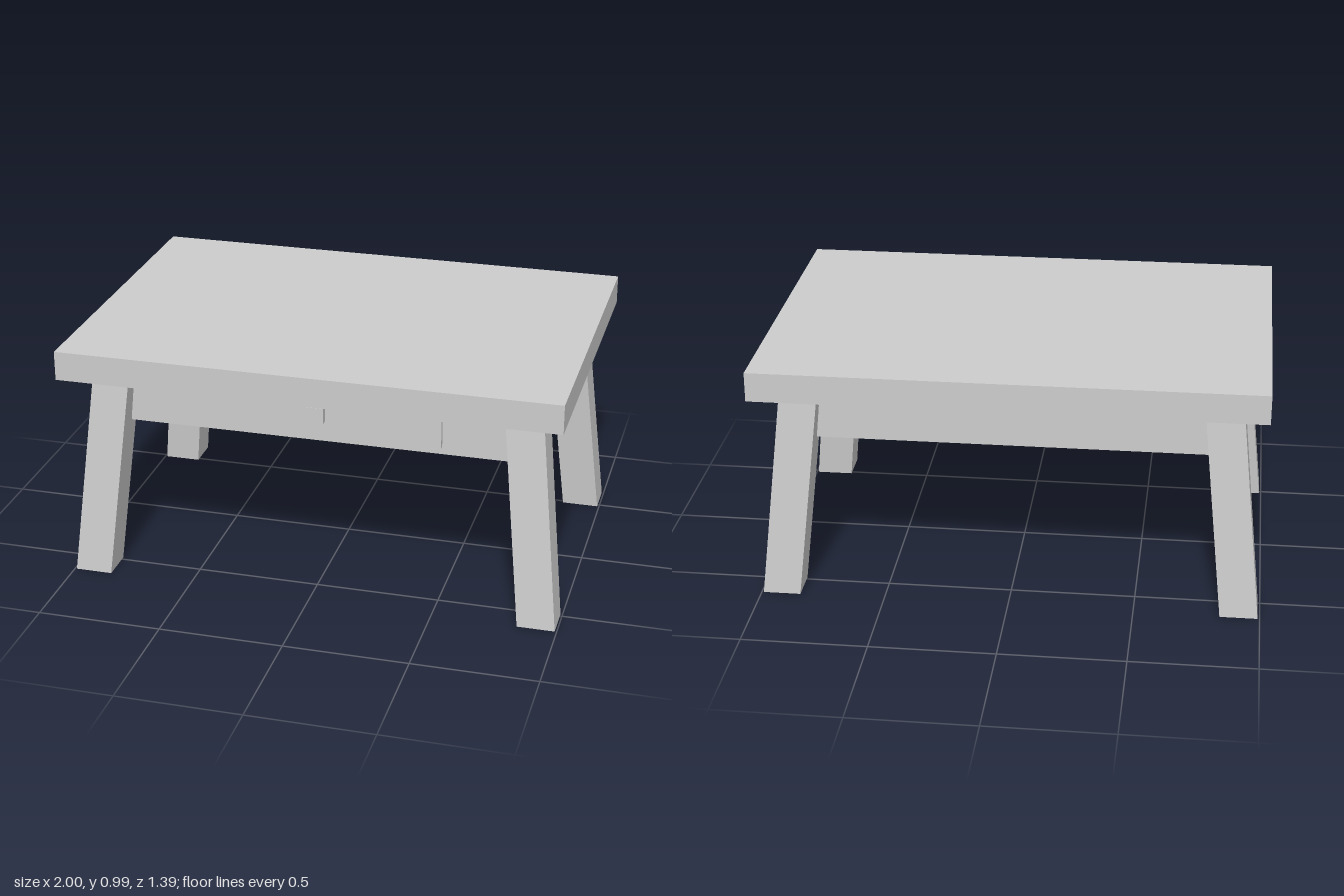
import * as THREE from 'three';

export function createModel() {
  const model = new THREE.Group();
  model.name = 'table';
  const grey = new THREE.MeshStandardMaterial({ color: 0xcccccc });
  grey.name = 'light grey';

  // Box spanning y0..y1, centred on x = 0
  const addBox = (name, width, y0, y1, z0, z1) => {
    const mesh = new THREE.Mesh(new THREE.BoxGeometry(width, y1 - y0, z1 - z0), grey);
    mesh.position.set(0, (y0 + y1) / 2, (z0 + z1) / 2);
    mesh.name = name;
    model.add(mesh);
  };

  addBox('tableTop', 2, 0.875, 0.993, -0.697, 0.697);
  addBox('apron', 1.72, 0.637, 0.875, -0.48, 0.48);
  addBox('drawerFront', 1, 0.668, 0.87, 0.48, 0.5);
  addBox('drawerKnob', 0.07, 0.73, 0.795, 0.5, 0.527);

  // Splayed leg: a box sheared outward towards the floor
  const height = 0.875;
  const addLeg = (name, sx, sz) => {
    const geometry = new THREE.BoxGeometry(0.15, height, 0.14);
    geometry.translate(0, height / 2, 0);
    const p = geometry.attributes.position;
    for (let i = 0; i < p.count; i++) {
      const t = p.getY(i) / height;
      p.setX(i, p.getX(i) + sx * (0.917 - 0.09 * t));
      p.setZ(i, p.getZ(i) + sz * (0.555 - 0.08 * t));
    }
    geometry.computeVertexNormals();
    const mesh = new THREE.Mesh(geometry, grey);
    mesh.name = name;
    model.add(mesh);
  };
  for (const [side, sx] of [['Left', 1], ['Right', -1]]) {
    addLeg('front' + side + 'Leg', sx, 1);
    addLeg('back' + side + 'Leg', sx, -1);
  }
  return model;
}
